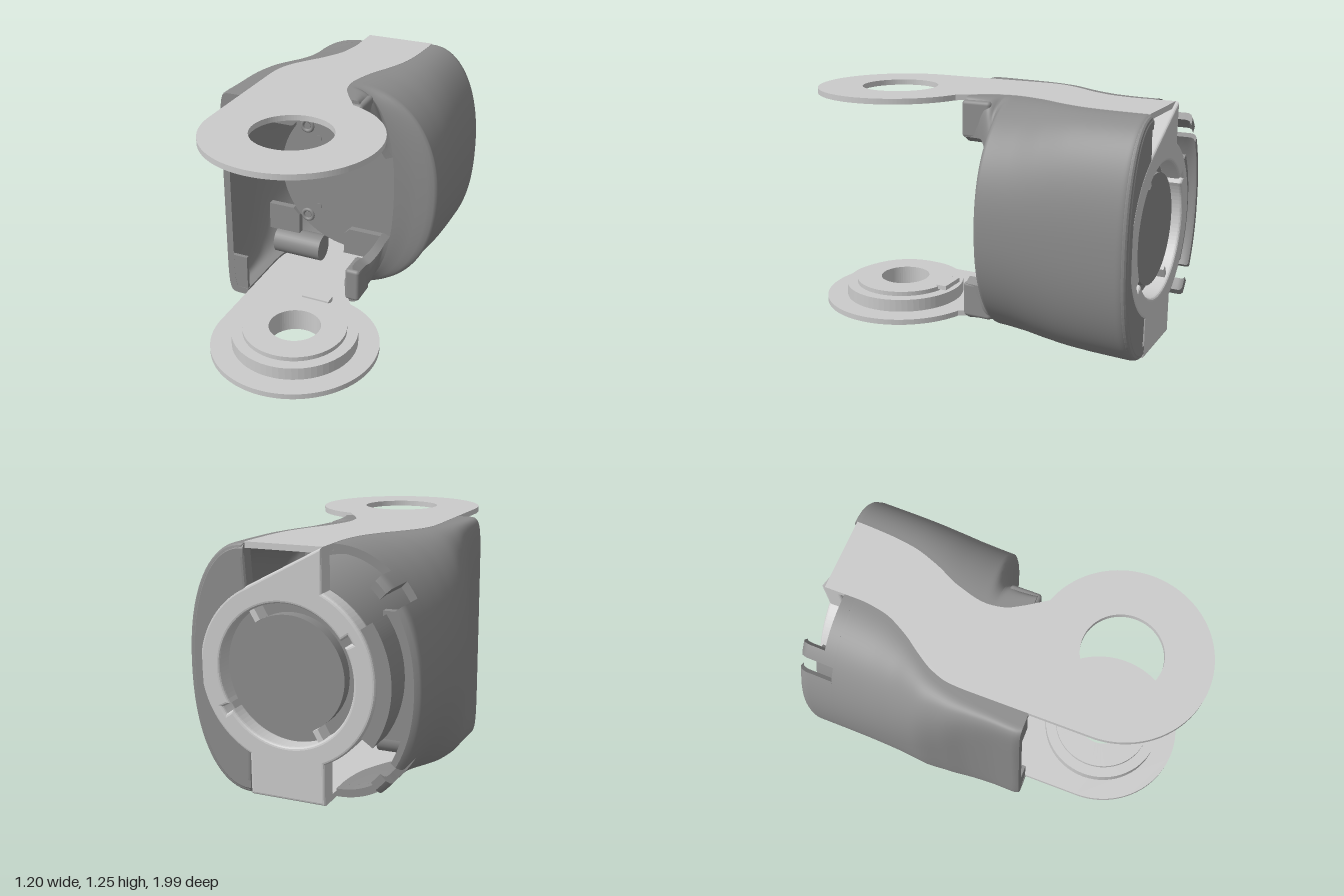
import * as THREE from 'three';
import { mergeGeometries } from 'three/addons/utils/BufferGeometryUtils.js';
import { RoundedBoxGeometry } from 'three/addons/geometries/RoundedBoxGeometry.js';

const MID = 0.625, CX = 0.08, DISC_Z = 0.54, DISC_R = 0.455;

// Smooth monotone function through [z, value] pairs
function profile(pts) {
  const d = (i) => (pts[i + 1][1] - pts[i][1]) / (pts[i + 1][0] - pts[i][0]);
  const slope = (i) => {
    if (i === 0 || i === pts.length - 1) return 0;
    const a = d(i - 1), b = d(i);
    return a * b <= 0 ? 0 : (2 * a * b) / (a + b);
  };
  return (z) => {
    if (z <= pts[0][0]) return pts[0][1];
    if (z >= pts[pts.length - 1][0]) return pts[pts.length - 1][1];
    let i = 0;
    while (z > pts[i + 1][0]) i++;
    const h = pts[i + 1][0] - pts[i][0], t = (z - pts[i][0]) / h;
    const t2 = t * t, t3 = t2 * t;
    return (2 * t3 - 3 * t2 + 1) * pts[i][1] + (t3 - 2 * t2 + t) * h * slope(i)
      + (3 * t2 - 2 * t3) * pts[i + 1][1] + (t3 - t2) * h * slope(i + 1);
  };
}

// Band edges, side bulges, section squareness and half height along z
const bandRight = profile([[-1, -0.12], [-0.8, -0.12], [-0.65, -0.14], [-0.5, -0.21], [-0.4, -0.28], [-0.3, -0.34], [-0.2, -0.37], [-0.1, -0.375]]);
const bandLeft = profile([[-1, 0.28], [-0.8, 0.27], [-0.65, 0.25], [-0.5, 0.2], [-0.35, 0.13], [-0.18, 0.09], [-0.1, 0.1], [0, 0.15], [0.06, 0.19], [0.11, 0.22]]);
const bulgeRight = profile([[-1, -0.565], [-0.985, -0.59], [-0.95, -0.6], [-0.35, -0.6], [-0.2, -0.57], [-0.05, -0.53], [0.1, -0.512], [0.2, -0.51], [0.22, -0.5]]);
const bulgeLeft = profile([[-1, 0.565], [-0.985, 0.59], [-0.95, 0.6], [-0.205, 0.6], [-0.188, 0.57], [-0.17, 0.48], [-0.145, 0.39], [-0.13, 0.34], [-0.09, 0.29], [-0.04, 0.255], [0.04, 0.248]]);
const squareRight = profile([[-1, 2.1], [-0.5, 2.3], [-0.25, 3], [0, 6], [0.2, 9]]);
const squareLeft = profile([[-1, 2.2], [-0.15, 2.2], [-0.09, 4.5], [-0.03, 6]]);
const halfHeight = profile([[-1, 0.595], [-0.985, 0.617], [-0.965, 0.623]]);

// Grid surface from f(u, v)
function surface(f, nu, nv) {
  const pos = [], idx = [];
  for (let j = 0; j <= nv; j++) for (let i = 0; i <= nu; i++) pos.push(...f(i / nu, j / nv));
  for (let j = 0; j < nv; j++) for (let i = 0; i < nu; i++) {
    const a = j * (nu + 1) + i, b = a + nu + 1;
    idx.push(a, a + 1, b, a + 1, b + 1, b);
  }
  const g = new THREE.BufferGeometry();
  g.setAttribute('position', new THREE.Float32BufferAttribute(pos, 3));
  g.setIndex(idx);
  g.computeVertexNormals();
  return g;
}

// Thick curved wall between z0 and z1, limited to heights lo(z)..hi(z) in -1..1
function wall(edge, bulge, square, z0, z1, t, lo, hi, nz) {
  const point = (u, v, inset) => {
    const z = z0 + (z1 - z0) * v, n = square(z), p = 2 / n;
    const ang = (h) => Math.sign(h) * Math.asin(Math.pow(Math.abs(h), n / 2));
    const a = ang(lo(z)) + (ang(hi(z)) - ang(lo(z))) * u;
    const e = edge(z), b = bulge(z) - Math.sign(bulge(z)) * inset;
    return [e + (b - e) * Math.pow(Math.max(0, Math.cos(a)), p),
      MID + (halfHeight(z) - inset) * Math.sign(a) * Math.pow(Math.abs(Math.sin(a)), p), z];
  };
  return mergeGeometries([
    surface((u, v) => point(u, v, 0), 56, nz),
    surface((u, v) => point(u, v, t), 56, nz),
    ...[0, 1].map((v) => surface((u, w) => point(u, v, t * w), 56, 1)),
    ...[0, 1].map((u) => surface((v, w) => point(u, v, t * w), nz, 1)),
  ]);
}

export function createModel() {
  const model = new THREE.Group();
  const light = new THREE.MeshStandardMaterial({ color: 0xcccccc, side: THREE.DoubleSide });
  const dark = new THREE.MeshStandardMaterial({ color: 0x8c8c8c, side: THREE.DoubleSide });
  const add = (name, geo, x = 0, y = 0, z = 0, mat = dark) => {
    const m = new THREE.Mesh(geo, mat);
    m.name = name;
    m.position.set(x, y, z);
    model.add(m);
    return m;
  };
  const box = (name, x0, x1, y0, y1, z0, z1, mat = dark) =>
    add(name, new THREE.BoxGeometry(x1 - x0, y1 - y0, z1 - z0), (x0 + x1) / 2, (y0 + y1) / 2, (z0 + z1) / 2, mat);
  const cylZ = (name, r, x, y, z0, z1, seg = 64) =>
    add(name, new THREE.CylinderGeometry(r, r, z1 - z0, seg).rotateX(Math.PI / 2), x, y, (z0 + z1) / 2);

  // Top and bottom arms: round eye flowing into an S-shaped band
  const armPlate = (holeR) => {
    const s = new THREE.Shape();
    s.moveTo(bandRight(-0.1), 0);
    s.absarc(CX, -DISC_Z, DISC_R, Math.PI, 2 * Math.PI + 1.256, false);
    for (let z = 0.06; z > -0.97; z -= 0.03) s.lineTo(bandLeft(z), -z);
    s.lineTo(bandLeft(-0.98), 0.98);
    for (let z = -0.98; z < 0; z += 0.03) s.lineTo(bandRight(z), -z);
    s.holes.push(new THREE.Path().absarc(CX, -DISC_Z, holeR, 0, Math.PI * 2, true));
    return new THREE.ExtrudeGeometry(s, { depth: 0.03, bevelEnabled: false, curveSegments: 48 }).rotateX(-Math.PI / 2);
  };
  add('topArm', armPlate(0.21), 0, 1.22, 0, light);
  add('bottomArm', armPlate(0.14), 0, 0, 0, light);

  // Stepped boss on the bottom eye
  const boss = [[0.14, 0.01], [0.34, 0.01], [0.34, 0.1], [0.28, 0.1], [0.28, 0.125], [0.14, 0.125], [0.14, 0.01]];
  const bossGeo = new THREE.LatheGeometry(boss.map((p) => new THREE.Vector2(...p)), 64).toNonIndexed();
  bossGeo.computeVertexNormals();
  add('boss', bossGeo, CX, 0, DISC_Z, light);
  box('bossKey', 0, 0.16, 0.11, 0.135, 0.22, 0.28, light);

  // Curved side shells; the right one is slotted and notched at the rear
  const k = (v) => () => v;
  const rightWall = (name, z0, z1, t, lo, hi, nz) =>
    add(name, wall(bandRight, bulgeRight, squareRight, z0, z1, t, k(lo), k(hi), nz));
  rightWall('rightShell', -0.81, 0.22, 0.04, -1, 1, 50);
  rightWall('rightShellRear', -1, -0.81, 0.03, -0.62, 0.62, 16);
  for (const s of [-1, 1]) {
    rightWall('rightShellCorner', -0.87, -0.81, 0.04, s * 0.74, s, 4);
    rightWall('slotFin', -1, -0.87, 0.04, s * 0.74, s * 0.83, 10);
  }
  add('leftShell', wall(bandLeft, bulgeLeft, squareLeft, -1, -0.14, 0.04, k(-1), k(1), 80));
  const cut = profile([[-0.14, 0.4], [-0.13, 0.5], [-0.1, 0.6], [-0.06, 0.66], [0.04, 0.66]]);
  add('upperHornRoot', wall(bandLeft, bulgeLeft, squareLeft, -0.14, 0.04, 0.045, cut, k(1), 24));
  add('lowerHornRoot', wall(bandLeft, bulgeLeft, squareLeft, -0.14, 0.04, 0.045, k(-1), (z) => -cut(z), 24));

  // Rear bracket face: band plus ring with two slits
  const side = Math.asin(0.2 / 0.46), q = Math.PI / 2;
  const bracket = new THREE.Shape();
  bracket.moveTo(0.28, 1.25);
  bracket.absarc(CX, MID, 0.46, q - side, -q + side, true);
  bracket.lineTo(0.28, 0);
  bracket.lineTo(-0.12, 0);
  bracket.absarc(CX, MID, 0.46, -q - side, -3 * q + side, true);
  bracket.lineTo(-0.12, 1.25);
  const opening = new THREE.Path();
  for (const a of [-0.56, Math.PI - 0.56]) {
    opening.absarc(CX, MID, 0.395, a - 0.05, a + 0.05, false);
    opening.absarc(CX, MID, 0.35, a + 0.05, a + Math.PI - 0.05, false);
  }
  bracket.holes.push(opening);
  const bevel = (depth, b) => ({ depth, bevelThickness: b, bevelSize: b, bevelOffset: -b, bevelSegments: 3, curveSegments: 24 });
  add('rearBracket', new THREE.ExtrudeGeometry(bracket, bevel(0.07, 0.015)), 0, 0, -0.985, light);

  // Rear crescent closing the left shell
  const crescent = new THREE.Shape();
  for (let i = 0; i <= 40; i++) {
    const a = q - (Math.PI * i) / 40, p = 2 / 2.2;
    const x = 0.28 + 0.315 * Math.pow(Math.max(0, Math.cos(a)), p);
    const y = MID + 0.62 * Math.sign(a) * Math.pow(Math.abs(Math.sin(a)), p);
    if (i) crescent.lineTo(x, y); else crescent.moveTo(x, y);
  }
  crescent.absarc(CX, MID, 0.43, -q + side, q - side, false);
  add('rearCrescent', new THREE.ExtrudeGeometry(crescent, bevel(0.04, 0.02)), 0, 0, -0.977);

  // Collar segment beside the rear slot, and the slot floor
  const collar = new THREE.Shape();
  collar.absarc(CX, MID, 0.53, Math.PI - 0.6, Math.PI + 0.6, false);
  collar.absarc(CX, MID, 0.44, Math.PI + 0.6, Math.PI - 0.6, true);
  add('collar', new THREE.ExtrudeGeometry(collar, { depth: 0.18, bevelEnabled: false, curveSegments: 24 }), 0, 0, -0.98);
  box('slotFloor', -0.53, -0.34, 0.31, 0.94, -0.81, -0.77);

  // Motor drum with rear cap and locking tabs
  cylZ('motorDrum', DISC_R, CX, MID + 0.005, -0.9, -0.26, 96);
  cylZ('motorCap', 0.29, CX, MID, -0.96, -0.88);
  for (const a of [1.05, 1.05 + Math.PI]) {
    const tab = add('lockTab', new THREE.BoxGeometry(0.07, 0.03, 0.08), CX + 0.325 * Math.cos(a), MID + 0.325 * Math.sin(a), -0.94, light);
    tab.rotation.z = a;
  }

  // Short pin above the drum
  add('thinTube', new THREE.CylinderGeometry(0.045, 0.045, 0.3, 24).rotateZ(q), 0.02, 1.165, -0.28);

  // Chamfered tab of width w and height h
  const tabGeo = (w, h, c) => {
    const s = new THREE.Shape([[0, 0], [w, 0], [w, h - c], [w - c, h], [0, h]].map((p) => new THREE.Vector2(...p)));
    return new THREE.ExtrudeGeometry(s, { depth: 0.04, bevelEnabled: false });
  };

  // Parts mirrored about mid height
  for (const s of [-1, 1]) {
    const y = (d) => MID + s * d;
    const span = (a, b) => [Math.min(y(a), y(b)), Math.max(y(a), y(b))];
    add('crossTube', new THREE.CylinderGeometry(0.08, 0.08, 0.3, 32).rotateZ(q), -0.27, y(0.515), -0.28);
    add('hornTip', new RoundedBoxGeometry(0.088, 0.2, 0.17, 3, 0.02), 0.206, y(0.505), -0.026);
    box('shellFlange', -0.48, -0.378, ...span(0.375, 0.597), 0.195, 0.217);
    const rt = add('rightTab', tabGeo(0.2, 0.17, 0.04), -0.47, y(0.44), -0.3);
    rt.scale.y = -s;
    const lt = add('leftTab', tabGeo(0.29, 0.165, 0.035), 0.33, y(0.475), -0.26);
    lt.scale.set(-1, -s, 1);
    // Screw heads and small pins on the drum face
    add('screwRing', new THREE.TorusGeometry(0.032, 0.011, 8, 28), -0.21, y(0.29), -0.258);
    cylZ('screwCore', 0.02, -0.21, y(0.29), -0.27, -0.255, 20);
    for (const x of [-0.14, 0.3]) cylZ('facePin', 0.02, x, y(0.22), -0.27, -0.256, 16);
  }
  return model;
}
